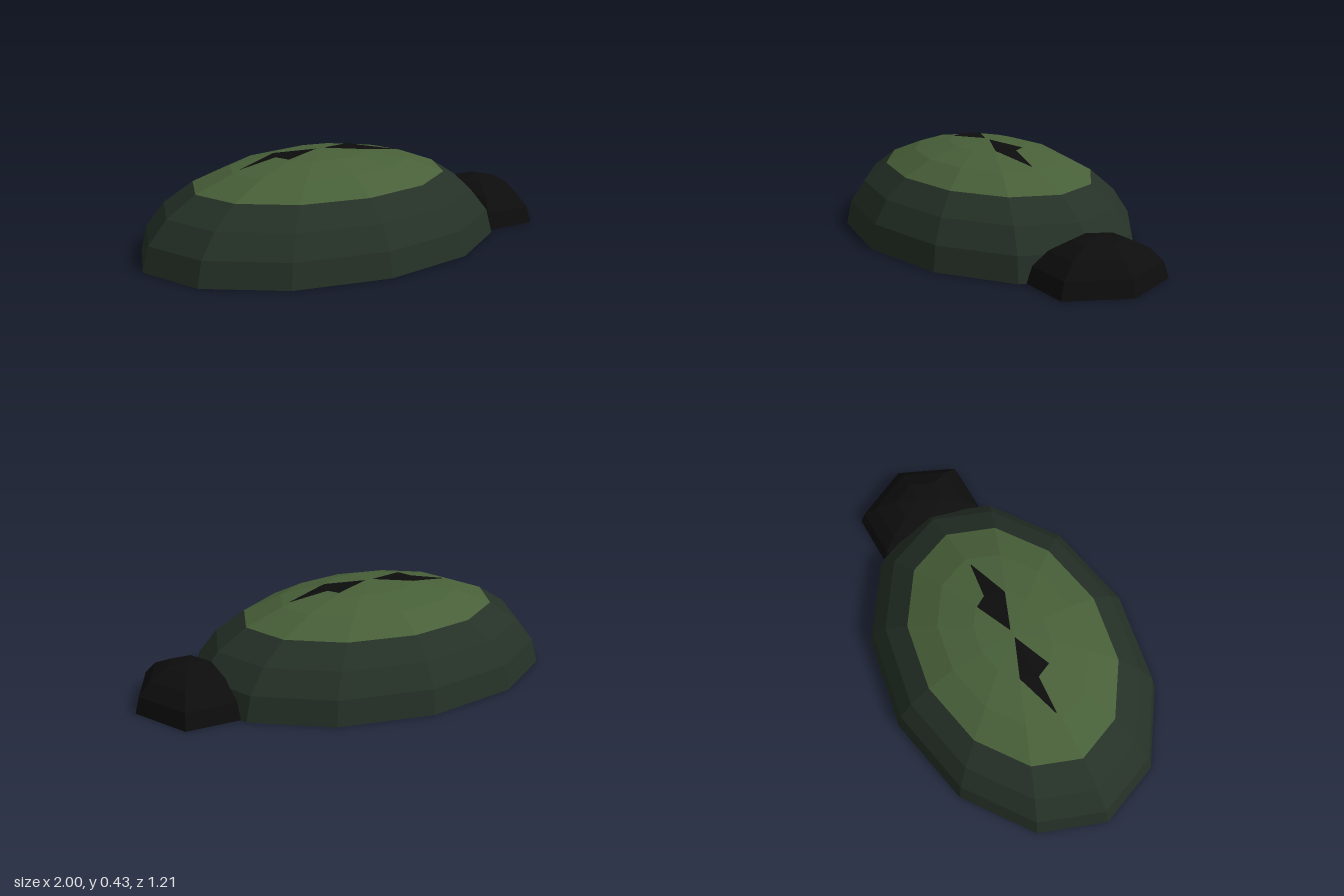
import * as THREE from 'three';

const material = (name, color) =>
  new THREE.MeshStandardMaterial({ name, color, side: THREE.DoubleSide, flatShading: true });

const CENTRE = -0.135, RX = 0.865, RY = 0.431, RZ = 0.605;
const STEP = Math.PI / 12; // angle between rings of the shell

// Height of the faceted shell above a point of the ground plane
function shellHeight(x, z) {
  const p = (x - CENTRE) / RX, q = z / RZ;
  const sector = Math.PI / 6;
  const angle = Math.atan2(q, p);
  const middle = (Math.floor(angle / sector) + 0.5) * sector;
  const r = Math.hypot(p, q) * Math.cos(angle - middle) / Math.cos(sector / 2);
  const ring = Math.min(5, Math.floor(Math.asin(Math.min(1, r)) / STEP));
  const r0 = Math.sin(ring * STEP), r1 = Math.sin((ring + 1) * STEP);
  const t = (r - r0) / (r1 - r0);
  return RY * THREE.MathUtils.lerp(Math.cos(ring * STEP), Math.cos((ring + 1) * STEP), t);
}

// Thin marking that follows the shell; columns are [x, zBack, zFront]
function marking(columns, offset) {
  const points = [], index = [];
  columns.forEach(([x, back, front], i) => {
    for (const z of [back, THREE.MathUtils.clamp(0, back, front), front]) {
      points.push(x, shellHeight(x, z) + offset, z);
    }
    if (i === 0) return;
    for (let k = 0; k < 2; k++) {
      const a = (i - 1) * 3 + k, b = a + 3;
      index.push(a, a + 1, b, b, a + 1, b + 1);
    }
  });
  const geometry = new THREE.BufferGeometry();
  geometry.setAttribute('position', new THREE.Float32BufferAttribute(points, 3));
  geometry.setIndex(index);
  geometry.computeVertexNormals();
  return geometry;
}

export function createModel() {
  const group = new THREE.Group();
  const darkGreen = material('dark green', 0x253127);
  const mossGreen = material('moss green', 0x486039);
  const black = material('black', 0x0d0d0d);

  const add = (name, geometry, mat) => {
    const mesh = new THREE.Mesh(geometry, mat);
    mesh.name = name;
    group.add(mesh);
    return mesh;
  };
  // Open band of a faceted dome between two polar angles
  const dome = (sides, rings, from, to, sx, sy, sz, x) =>
    new THREE.SphereGeometry(1, sides, rings, 0, Math.PI * 2, from, to - from)
      .scale(sx, sy, sz).translate(x, 0, 0);

  // Hollow shell: lower skirt and upper cap
  add('shellSkirt', dome(12, 3, Math.PI / 4, Math.PI / 2, RX, RY, RZ, CENTRE), darkGreen);
  add('shellCap', dome(12, 3, 0, Math.PI / 4, RX, RY, RZ, CENTRE), mossGreen);

  // Hollow head
  add('head', dome(6, 4, 0, Math.PI / 2, 0.25, 0.195, 0.312, 0.75), black);

  // Pointed markings on both faces of the cap
  const rearColumns = [[-0.53, -0.012, -0.008], [-0.36, -0.066, 0], [-0.33, -0.077, 0.07], [-0.157, -0.003, 0]];
  const frontColumns = [[-0.115, -0.003, 0], [0.055, -0.073, 0.07], [0.085, -0.02, 0.062], [0.258, 0.008, 0.012]];
  for (const offset of [0.004, -0.004]) {
    const side = offset > 0 ? 'Outer' : 'Inner';
    add('rearMarking' + side, marking(rearColumns, offset), black);
    add('frontMarking' + side, marking(frontColumns, offset), black);
  }
  return group;
}
